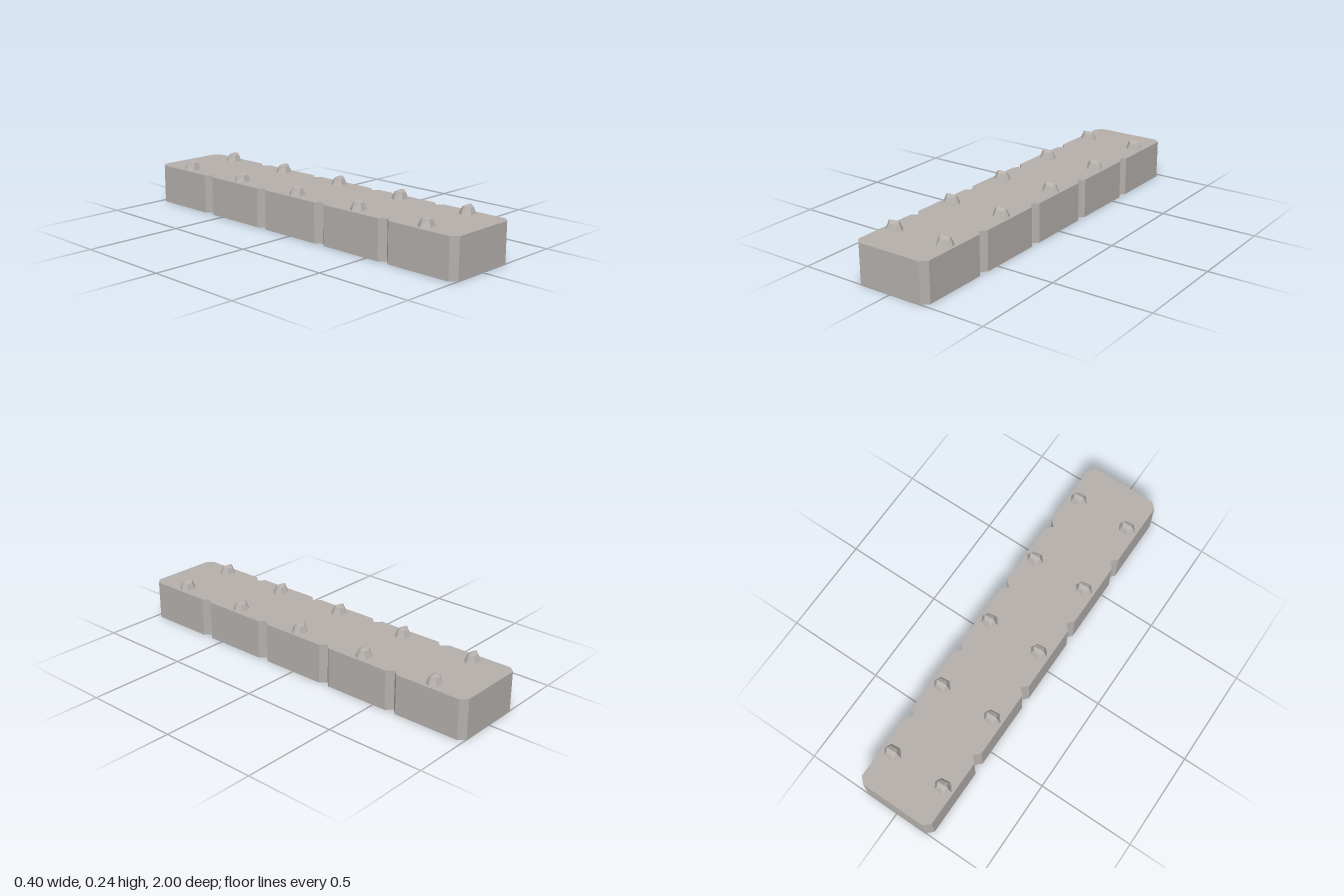
import * as THREE from 'three';

const stone = new THREE.MeshStandardMaterial({ color: 0xb5b0ac });
stone.name = 'stoneGrey';

// Slab with chamfered corners and V notches along both long sides
function slabGeometry() {
  const w = 0.2, c = 0.03;
  const side = [[w - c, -1], [w, -1 + c]];
  for (const z of [-0.6, -0.2, 0.2, 0.6]) side.push([w, z - c], [w - c, z], [w, z + c]);
  side.push([w, 1 - c], [w - c, 1]);
  const outline = [...side, ...side.map(([x, z]) => [-x, -z])];
  const shape = new THREE.Shape(outline.map(([x, z]) => new THREE.Vector2(x, z)));
  const geo = new THREE.ExtrudeGeometry(shape, { depth: 0.2, bevelEnabled: false });
  return geo.rotateX(-Math.PI / 2);
}

// Rough six-sided stud: tapered ring with a slightly ridged cap
function studGeometry() {
  const base = [[-0.046, 0], [-0.018, 0.036], [0.03, 0.03], [0.047, 0], [0.03, -0.03], [-0.018, -0.036]]
    .map(([x, z]) => new THREE.Vector3(x, 0, z));
  const top = [[-0.028, 0], [-0.009, 0.022], [0.021, 0.018], [0.03, 0], [0.021, -0.018], [-0.009, -0.022]]
    .map(([x, z]) => new THREE.Vector3(x, z === 0 ? 0.041 : 0.032, z));
  const peak = new THREE.Vector3(0, 0.044, 0);
  const points = [];
  for (let i = 0; i < 6; i++) {
    const j = (i + 1) % 6;
    points.push(base[i], base[j], top[j], base[i], top[j], top[i], top[i], top[j], peak);
  }
  const geo = new THREE.BufferGeometry().setFromPoints(points);
  geo.computeVertexNormals();
  return geo;
}

export function createModel() {
  const model = new THREE.Group();
  model.name = 'studdedSlab';

  const slab = new THREE.Mesh(slabGeometry(), stone);
  slab.name = 'slab';
  model.add(slab);

  // Two rows of studs, one pair per slab section
  const geo = studGeometry();
  for (const x of [-0.145, 0.145]) {
    for (let i = -2; i <= 2; i++) {
      const stud = new THREE.Mesh(geo, stone);
      stud.name = 'stud';
      stud.position.set(x, 0.2, i * 0.4);
      model.add(stud);
    }
  }
  return model;
}
